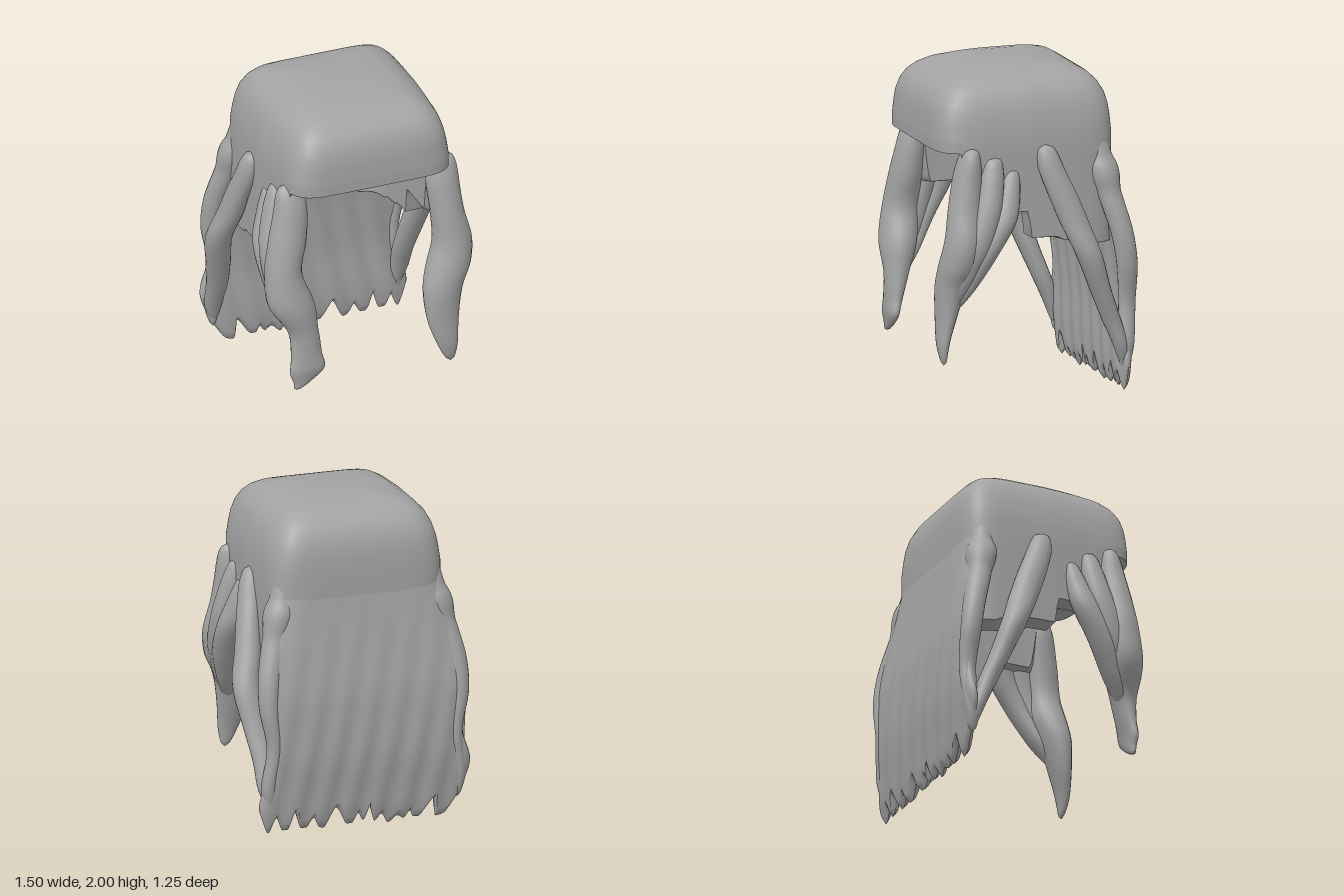
import * as THREE from 'three';

const hair = new THREE.MeshStandardMaterial({ color: 0xa3a3a3 });
hair.name = 'hair grey';

// Smooth lookup without overshoot in a table of [key, value] rows with rising keys
function at(table, k) {
  const last = table.length - 1;
  if (k <= table[0][0]) return table[0][1];
  if (k >= table[last][0]) return table[last][1];
  const i = table.findIndex(row => row[0] >= k);
  const slope = n => (table[n][1] - table[n - 1][1]) / (table[n][0] - table[n - 1][0]);
  const tangent = n => {
    if (n === 0) return slope(1);
    if (n === last) return slope(last);
    const a = slope(n), b = slope(n + 1);
    return a * b > 0 ? (2 * a * b) / (a + b) : 0;
  };
  const [k0, v0] = table[i - 1], [k1, v1] = table[i];
  const h = k1 - k0, t = (k - k0) / h, s = 1 - t;
  return v0 * s * s * (1 + 2 * t) + v1 * t * t * (3 - 2 * t)
    + h * t * s * (tangent(i - 1) * s - tangent(i) * t);
}

// Surface of closed rings: fn(angle, row) gives a point
function rings(name, n, rows, fn) {
  const pos = [], idx = [];
  for (let j = 0; j <= rows; j++)
    for (let i = 0; i < n; i++) pos.push(...fn((i / n) * Math.PI * 2, j));
  for (let j = 0; j < rows; j++)
    for (let i = 0; i < n; i++) {
      const a = j * n + i, b = j * n + ((i + 1) % n);
      idx.push(a, b, a + n, b, b + n, a + n);
    }
  const g = new THREE.BufferGeometry();
  g.setAttribute('position', new THREE.Float32BufferAttribute(pos, 3));
  g.setIndex(idx);
  g.computeVertexNormals();
  const m = new THREE.Mesh(g, hair);
  m.name = name;
  return m;
}

// Lock of hair through sections [x, y, z, radius x, radius z]
function lock(name, sections, side = 1) {
  const path = new THREE.CatmullRomCurve3(sections.map(s => new THREE.Vector3(s[0] * side, s[1], s[2])));
  const size = new THREE.CatmullRomCurve3(sections.map(s => new THREE.Vector3(s[3], s[4], 0)));
  const rows = 48;
  return rings(name, 20, rows, (a, j) => {
    const t = j / rows, p = path.getPoint(t), r = size.getPoint(t);
    const end = Math.sqrt(Math.max(0, 1 - Math.pow(Math.abs(2 * t - 1), 24)));
    return [p.x + Math.cos(a) * r.x * end, p.y, p.z + Math.sin(a) * r.y * end];
  });
}

// Hollow cap: rounded square dome, stepped lower rim, vaulted inside
function cap() {
  const dome = [[0, 2], [0.2, 2], [0.4, 1.996], [0.58, 1.983], [0.7, 1.963], [0.8, 1.93],
    [0.88, 1.885], [0.94, 1.825], [0.975, 1.755], [0.99, 1.685], [1, 1.6]];
  const vault = [[0.985, 0.06], [0.93, 0.35], [0.8, 0.65], [0.6, 0.88], [0.3, 0.98], [0, 1]];
  const skirt = [0.2, 0.4, 0.6, 0.8, 0.95, 0.995, 1];
  const rim = [[-0.36, 0.92], [-0.33, 0.94], [-0.16, 0.96], [-0.13, 0.98], [0.035, 0.985],
    [0.06, 1.15], [0.4, 1.15], [0.48, 1.53]];
  const backRim = [[0.17, 0.98], [0.23, 0.95], [0.34, 0.95], [0.4, 0.92]];
  const inner = [0, 0.01, 0.3, 0.6, 0.85, 1];
  const rows = dome.length + skirt.length + inner.length + vault.length - 1;
  return rings('hairCap', 240, rows, (a, j) => {
    const c = Math.cos(a), s = Math.sin(a);
    const r = Math.pow(Math.abs(c) ** 7 + Math.abs(s) ** 7, -1 / 7);
    const ux = c * r, uz = s * r;
    const taper = 0.557 - 0.03 * Math.max(0, uz);
    const z1 = 0.035 + 0.565 * uz;
    const low = z1 < -0.4 ? at(backRim, Math.abs(ux * taper)) : at(rim, z1);
    if (j < dome.length) {
      const [t, y] = dome[j];
      const drop = 0.13 * Math.max(0, uz * t) ** 2 * (1 - t);
      const lean = 1 - 0.03 * Math.min(1, (y - 1.6) / 0.2);
      return [ux * taper * t * lean, y - drop, 0.035 + 0.565 * uz * t];
    }
    j -= dome.length;
    if (j < skirt.length) return [ux * taper, 1.6 + (low - 1.6) * skirt[j], z1];
    j -= skirt.length;
    const base = Math.max(low, 1.5 - 0.25 * Math.max(0, -uz) ** 2 * (1 - 0.5 * ux * ux));
    const ix = ux * 0.42, iz = uz * 0.45;
    if (j < inner.length) return [ix, low + (base - low) * inner[j], 0.04 + iz];
    const [t, rise] = vault[j - inner.length];
    return [ix * t, base + (1.66 - base) * rise, 0.04 + iz * t];
  });
}

// Long rippled sheet down the back with a ragged hem
function backSheet() {
  const hem = [[-0.63, 0.15], [-0.55, 0.02], [-0.5, 0.01], [-0.46, 0.13], [-0.37, 0.02], [-0.34, 0.02],
    [-0.31, 0.06], [-0.27, 0.02], [-0.22, 0.04], [-0.16, 0], [-0.11, 0.06], [-0.06, 0.02],
    [-0.02, 0.12], [0.02, 0.03], [0.05, 0.08], [0.09, 0.02], [0.12, 0.02], [0.19, 0.13],
    [0.27, 0.01], [0.3, 0.02], [0.33, 0.08], [0.38, 0.02], [0.41, 0.02], [0.45, 0.13],
    [0.5, 0.02], [0.53, 0.02], [0.56, 0.1], [0.62, 0.01], [0.67, 0.16]];
  const left = [[0, 0.66], [0.18, 0.67], [0.35, 0.63], [0.55, 0.62], [0.85, 0.67], [1.05, 0.65], [1.3, 0.56], [1.6, 0.49]];
  const right = [[0, 0.58], [0.14, 0.61], [0.35, 0.68], [0.55, 0.63], [0.85, 0.67], [1.05, 0.65], [1.3, 0.57], [1.6, 0.49]];
  const depth = [[0, -0.535], [0.2, -0.545], [0.5, -0.565], [0.8, -0.555], [1.1, -0.52], [1.35, -0.488], [1.6, -0.46]];
  const thick = [[0, 0.015], [0.15, 0.04], [0.4, 0.053], [0.9, 0.063], [1.3, 0.058], [1.6, 0.05]];
  const rows = 60;
  return rings('backHair', 400, rows, (a, j) => {
    const u = a < Math.PI ? 1 - (2 * a) / Math.PI : (2 * a) / Math.PI - 3;
    const v = j / rows;
    const y = 1.6 + (at(hem, u * 0.65 + 0.02) - 1.6) * v;
    const x = u * (u > 0 ? at(left, y) : at(right, y));
    const ends = j === 0 || j === rows ? 0 : Math.sqrt(Math.max(0, 1 - Math.abs(u) ** 8));
    const ripple = 0.005 * Math.sin(36 * x + 7 * y) * Math.min(1, v * 1.5);
    const forward = 0.05 * Math.abs(u) ** 8 * Math.max(0, y - 0.9);
    return [x, y, at(depth, y) + forward + ripple + Math.sign(Math.PI - a) * at(thick, y) * ends];
  });
}

export function createModel() {
  const group = new THREE.Group();
  group.name = 'wig';
  group.add(cap(), backSheet());

  // Front locks, waved differently on each side
  group.add(lock('leftFrontLock', [
    [0.5, 1.57, 0.41, 0.085, 0.05], [0.495, 1.4, 0.43, 0.105, 0.085], [0.515, 1.2, 0.455, 0.105, 0.1],
    [0.54, 1.0, 0.475, 0.125, 0.11], [0.51, 0.85, 0.495, 0.14, 0.115], [0.46, 0.7, 0.525, 0.125, 0.095],
    [0.45, 0.5, 0.555, 0.1, 0.06], [0.47, 0.34, 0.58, 0.065, 0.035], [0.49, 0.22, 0.58, 0.025, 0.015]]));
  group.add(lock('rightFrontLock', [
    [-0.5, 1.57, 0.41, 0.085, 0.05], [-0.5, 1.4, 0.43, 0.105, 0.085], [-0.53, 1.2, 0.455, 0.12, 0.1],
    [-0.565, 1.0, 0.475, 0.115, 0.11], [-0.53, 0.8, 0.505, 0.145, 0.115], [-0.46, 0.6, 0.54, 0.095, 0.075],
    [-0.45, 0.45, 0.565, 0.1, 0.052], [-0.45, 0.36, 0.58, 0.115, 0.04], [-0.48, 0.28, 0.58, 0.06, 0.025],
    [-0.52, 0.23, 0.58, 0.02, 0.015]]));

  // Smaller front strands and the long side locks, mirrored
  for (const [side, word] of [[1, 'left'], [-1, 'right']]) {
    group.add(lock(word + 'MiddleStrand', [
      [0.52, 1.5, 0.27, 0.045, 0.05], [0.54, 1.36, 0.29, 0.075, 0.075], [0.57, 1.15, 0.335, 0.09, 0.09],
      [0.57, 0.95, 0.4, 0.09, 0.1], [0.53, 0.75, 0.47, 0.08, 0.08], [0.48, 0.53, 0.55, 0.03, 0.03]], side));
    group.add(lock(word + 'RearStrand', [
      [0.52, 1.42, 0.15, 0.04, 0.04], [0.54, 1.28, 0.18, 0.07, 0.07], [0.58, 1.1, 0.235, 0.08, 0.085],
      [0.57, 0.9, 0.345, 0.08, 0.08], [0.52, 0.7, 0.44, 0.07, 0.055], [0.48, 0.54, 0.53, 0.03, 0.03]], side));
    group.add(lock(word + 'SideLock', [
      [0.55, 1.56, -0.05, 0.045, 0.055], [0.565, 1.42, -0.08, 0.07, 0.08], [0.6, 1.25, -0.145, 0.07, 0.09],
      [0.625, 1.08, -0.21, 0.078, 0.09], [0.665, 0.88, -0.29, 0.083, 0.08], [0.635, 0.65, -0.375, 0.078, 0.065],
      [0.61, 0.45, -0.455, 0.068, 0.058], [0.61, 0.3, -0.51, 0.058, 0.045], [0.6, 0.16, -0.54, 0.025, 0.025]], side));
    // Strand that wraps the rear corner
    group.add(lock(word + 'CornerLock', [
      [0.46, 1.65, -0.4, 0.05, 0.05], [0.485, 1.45, -0.425, 0.075, 0.075], [0.535, 1.25, -0.46, 0.075, 0.075],
      [0.595, 1.0, -0.525, 0.07, 0.07], [0.61, 0.8, -0.555, 0.06, 0.065], [0.58, 0.55, -0.565, 0.045, 0.053],
      [0.61, 0.3, -0.55, 0.045, 0.05], [0.6, 0.12, -0.54, 0.02, 0.025]], side));
  }
  return group;
}
